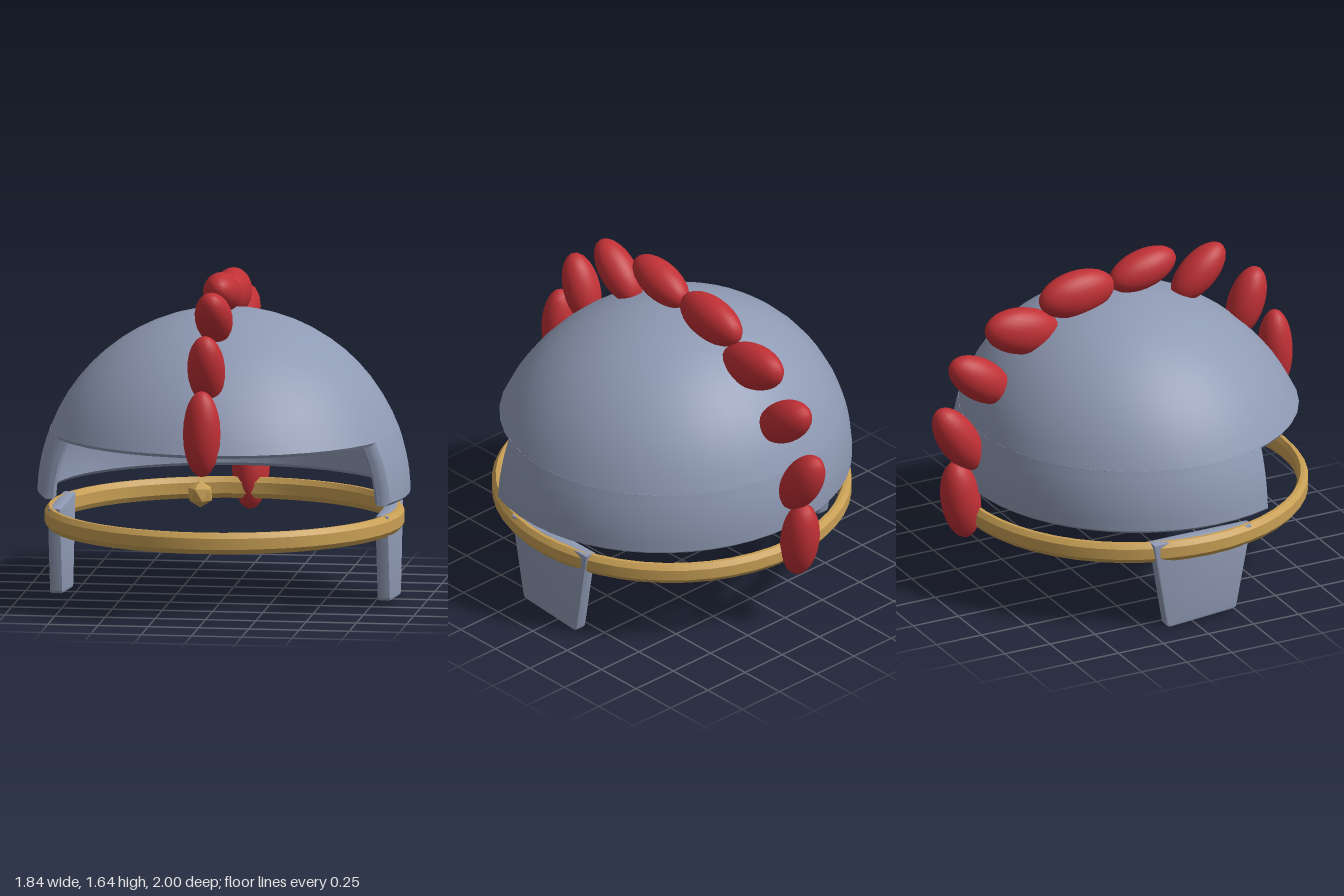
import * as THREE from 'three';
import { toCreasedNormals } from 'three/addons/utils/BufferGeometryUtils.js';

const material = (name, color) => {
  const m = new THREE.MeshStandardMaterial({ color });
  m.name = name;
  return m;
};

// Dome measures: rim height, brow height, cheek cut depth, wall and chamfer
const BASE = 0.53, BROW = 0.83, CUT = 0.41, WALL = 0.07, CHAMFER = 0.015;
const HEIGHT = 0.91, RADIUS = 0.92, Z_SCALE = 0.967;

const radiusAt = (y, inset) => {
  const t = (y - BASE) / (HEIGHT - inset);
  return (RADIUS - inset) * Math.sqrt(Math.max(0, 1 - t * t));
};
// The dome leans a little forward towards its base
const centreAt = (y) => 0.1 - 0.08 * (y - BASE) / HEIGHT;

function moveVertices(geometry, rule) {
  const pos = geometry.attributes.position;
  const v = new THREE.Vector3();
  for (let i = 0; i < pos.count; i++) {
    rule(v.fromBufferAttribute(pos, i));
    pos.setXYZ(i, v.x, v.y, v.z);
  }
  return toCreasedNormals(geometry, 0.6);
}

// Full cap above the brow: closed wall profile, spun and leaned
function capGeometry() {
  const arc = (inset, from) => {
    const h = HEIGHT - inset, start = Math.asin((from - BASE) / h), pts = [];
    for (let i = 0; i <= 12; i++) {
      const a = start + (Math.PI / 2 - start) * i / 12;
      pts.push(new THREE.Vector2(i === 12 ? 0 : (RADIUS - inset) * Math.cos(a), BASE + h * Math.sin(a)));
    }
    return pts;
  };
  const profile = [
    ...arc(WALL, BROW + CHAMFER).reverse(),
    new THREE.Vector2(radiusAt(BROW, WALL - CHAMFER), BROW),
    new THREE.Vector2(radiusAt(BROW, CHAMFER), BROW),
    ...arc(0, BROW + CHAMFER),
  ];
  return moveVertices(new THREE.LatheGeometry(profile, 40), (v) => {
    v.z = v.z * Z_SCALE + centreAt(v.y);
  });
}

// Side and neck guard below the brow: a box bent round the back of the dome
function guardGeometry() {
  return moveVertices(new THREE.BoxGeometry(1, 1, 1, 32, 6, 4), (v) => {
    const chamfer = Math.abs(v.z) > 0.49 ? CHAMFER : 0;
    const inset = WALL * (0.5 - v.z);
    const y = THREE.MathUtils.lerp(BASE + chamfer, BROW + 0.02, v.y + 0.5);
    const r = radiusAt(y, inset), c = centreAt(y);
    const start = Math.acos((CUT - chamfer - c) / (r * Z_SCALE));
    const a = THREE.MathUtils.lerp(start, 2 * Math.PI - start, v.x + 0.5);
    v.set(r * Math.sin(a), y, r * Math.cos(a) * Z_SCALE + c);
  });
}

// Chamfered band, as a closed profile spun round
function ringGeometry() {
  const profile = [
    [0.835, 0.44], [0.835, 0.385], [0.85, 0.36], [0.868, 0.36], [0.887, 0.385],
    [0.887, 0.44], [0.868, 0.465], [0.85, 0.465], [0.835, 0.44],
  ].map(([x, y]) => new THREE.Vector2(x, y));
  return toCreasedNormals(new THREE.LatheGeometry(profile, 48), 0.5);
}

// Tapered plate, outlined in side view and extruded through its thickness
function cheekGeometry() {
  const shape = new THREE.Shape();
  shape.moveTo(-0.32, 0.465);
  shape.lineTo(-0.238, 0.05);
  shape.quadraticCurveTo(-0.235, 0.03, -0.215, 0.028);
  shape.lineTo(0.125, 0.002);
  shape.quadraticCurveTo(0.147, 0, 0.152, 0.022);
  shape.lineTo(0.225, 0.465);
  shape.closePath();
  const geometry = new THREE.ExtrudeGeometry(shape, {
    depth: 0.044, bevelThickness: 0.01, bevelSize: 0.01, bevelOffset: -0.01,
    bevelSegments: 2, curveSegments: 4,
  });
  geometry.translate(0, 0, -0.022).rotateY(Math.PI / 2);
  return toCreasedNormals(geometry, 0.5);
}

export function createModel() {
  const steel = material('steel', 0x8f9ab4);
  const gold = material('gold', 0xc9a055);
  const red = material('red', 0xc03035);

  const model = new THREE.Group();
  model.name = 'helmet';
  const add = (name, geometry, mat, parent = model) => {
    const mesh = new THREE.Mesh(geometry, mat);
    mesh.name = name;
    parent.add(mesh);
    return mesh;
  };

  // Shell
  const dome = new THREE.Group();
  dome.name = 'dome';
  model.add(dome);
  add('domeCap', capGeometry(), steel, dome);
  add('neckGuard', guardGeometry(), steel, dome);

  // Rim band and brow gem
  add('rimBand', ringGeometry(), gold).position.z = 0.072;
  const gem = add('browGem', new THREE.IcosahedronGeometry(0.067, 0), gold);
  gem.position.set(0, 0.66, 0.938);
  gem.rotation.z = Math.atan(2 / (1 + Math.sqrt(5)));

  // Cheek plates
  const cheek = cheekGeometry();
  add('leftCheekPlate', cheek, steel).position.x = 0.815;
  add('rightCheekPlate', cheek, steel).position.x = -0.815;

  // Crest plumes from brow to nape: z, y, tilt in degrees, half length, half width
  const crest = new THREE.Group();
  crest.name = 'crest';
  model.add(crest);
  const plume = new THREE.SphereGeometry(1, 24, 16);
  [
    [0.885, 0.95, 90, 0.215, 0.086],
    [0.725, 1.245, 70, 0.185, 0.09],
    [0.46, 1.46, 43, 0.18, 0.092],
    [0.15, 1.54, 15, 0.185, 0.097],
    [-0.215, 1.485, 5, 0.205, 0.117],
    [-0.515, 1.345, -13, 0.208, 0.12],
    [-0.75, 1.13, -36, 0.195, 0.105],
    [-0.873, 0.835, -58, 0.203, 0.1],
    [-0.858, 0.505, -81, 0.21, 0.1],
  ].forEach(([z, y, tilt, length, width], i) => {
    const mesh = add(`plume${i + 1}`, plume, red, crest);
    mesh.position.set(0, y, z);
    mesh.rotation.x = -THREE.MathUtils.degToRad(tilt);
    mesh.scale.set(0.093, width, length);
  });

  return model;
}
